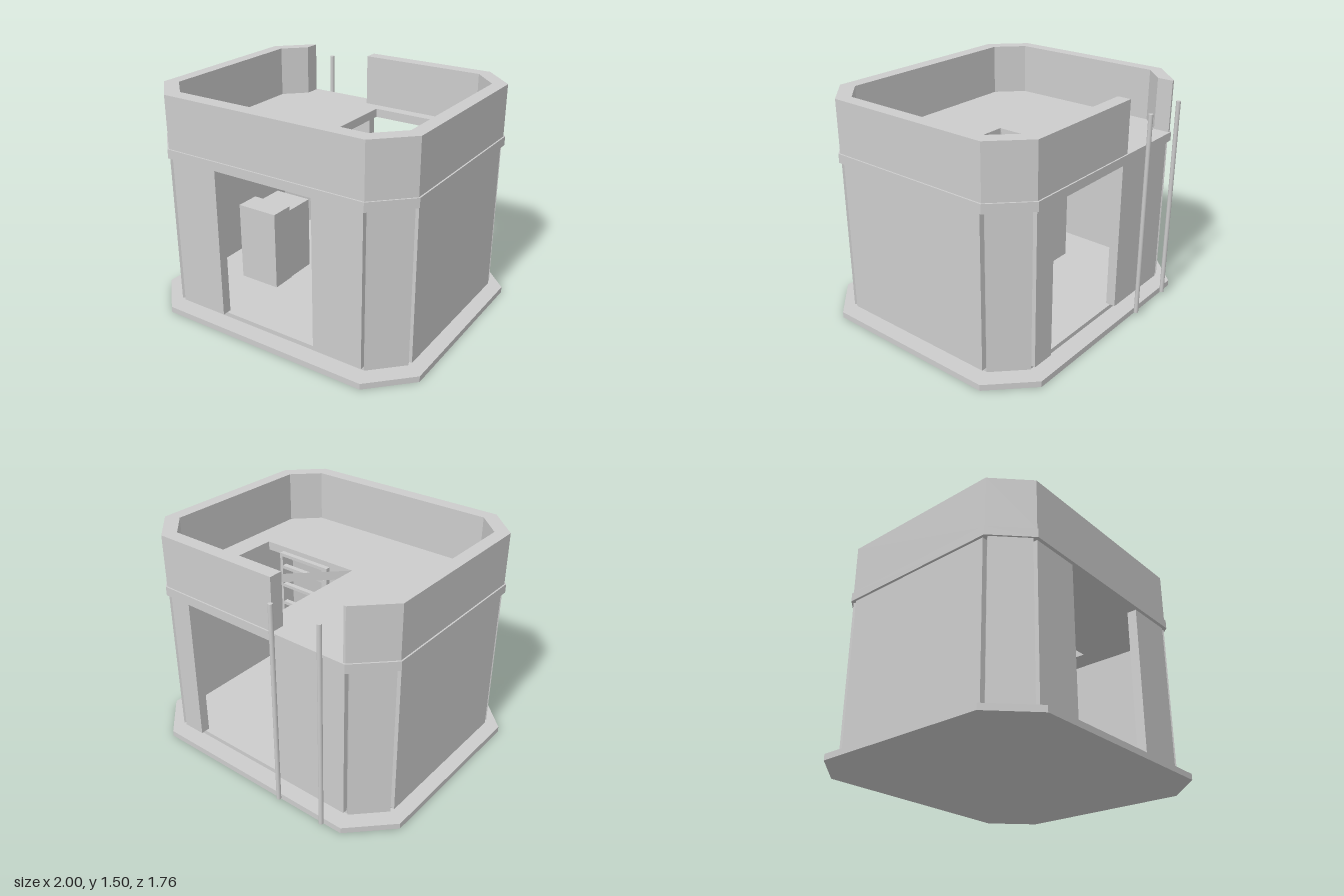
import * as THREE from 'three';

export function createModel() {
  const model = new THREE.Group();
  const body = new THREE.Group();
  body.name = 'guardPost';
  body.position.z = 0.02;
  model.add(body);

  const grey = new THREE.MeshStandardMaterial({ color: 0xcccccc });
  grey.name = 'plainGrey';
  const greySheet = grey.clone();
  greySheet.name = 'plainGrey';
  greySheet.side = THREE.DoubleSide;

  function add(name, geometry, material = grey) {
    const mesh = new THREE.Mesh(geometry, material);
    mesh.name = name;
    body.add(mesh);
    return mesh;
  }
  // box given by its limits on each axis
  function block(name, x0, x1, y0, y1, z0, z1) {
    const g = new THREE.BoxGeometry(x1 - x0, y1 - y0, z1 - z0);
    g.translate((x0 + x1) / 2, (y0 + y1) / 2, (z0 + z1) / 2);
    return add(name, g);
  }
  // plan outline of [x, z] points raised from y0 to y1
  const toPlan = (pts) => pts.map(([x, z]) => new THREE.Vector2(x, -z));
  function prism(name, pts, y0, y1, hole) {
    const shape = new THREE.Shape(toPlan(pts));
    if (hole) shape.holes.push(new THREE.Path(toPlan(hole)));
    const g = new THREE.ExtrudeGeometry(shape, { depth: y1 - y0, bevelEnabled: false });
    g.rotateX(-Math.PI / 2);
    g.translate(0, y0, 0);
    return add(name, g);
  }
  // rectangle with cut corners: half sizes X, Z and the points where the cuts start
  const octagon = (X, Z, cx, cz) => [
    [-cx, Z], [cx, Z], [X, cz], [X, -cz], [cx, -Z], [-cx, -Z], [-X, -cz], [-X, cz],
  ];

  // base and floor
  prism('basePlate', octagon(1, 0.862, 0.745, 0.607), 0, 0.04);
  prism('floor', octagon(0.88, 0.74, 0.7, 0.56), 0.04, 0.07);

  // lower walls with a doorway in the front and one in the back
  const low = 0.07, high = 1.097;
  const wallZ = 0.775, innerZ = 0.71, wallX = 0.918, innerX = 0.853;
  block('frontWallRight', -0.698, -0.357, low, high, innerZ, wallZ);
  block('frontWallLeft', 0.355, 0.698, low, high, innerZ, wallZ);
  block('backWallRight', -0.698, -0.167, low, high, -wallZ, -innerZ);
  block('backWallLeft', 0.54, 0.698, low, high, -wallZ, -innerZ);
  block('rightWall', -wallX, -innerX, low, high, -0.555, 0.555);
  block('leftWall', innerX, wallX, low, high, -0.555, 0.555);

  // diagonal corner panels, with a narrow groove beside each wall
  for (const sx of [-1, 1]) {
    for (const sz of [-1, 1]) {
      const pts = [[0.727, 0.77], [0.912, 0.585], [0.866, 0.539], [0.681, 0.724]];
      prism('cornerPanel', pts.map(([x, z]) => [x * sx, z * sz]), low, high);
    }
  }

  // upper deck with a square hatch and a thin diagonal web across it
  const h = { x0: -0.057, x1: 0.683, z0: -0.62, z1: 0.12 };
  prism('upperDeck', octagon(0.935, 0.798, 0.715, 0.58), high, 1.157,
    [[h.x0, h.z0], [h.x1, h.z0], [h.x1, h.z1], [h.x0, h.z1]]);
  const web = new THREE.PlaneGeometry(Math.hypot(h.x1 - h.x0, h.z1 - h.z0), 0.06);
  web.rotateY(Math.PI / 4);
  web.translate((h.x0 + h.x1) / 2, 1.127, (h.z0 + h.z1) / 2);
  add('hatchWeb', web, greySheet);

  // parapet, left open at the back above the poles
  prism('parapet', [
    [-0.187, -0.788], [0.712, -0.788], [0.925, -0.575], [0.925, 0.575], [0.712, 0.788],
    [-0.712, 0.788], [-0.925, 0.575], [-0.925, -0.575], [-0.712, -0.788], [-0.697, -0.788],
    [-0.697, -0.68], [-0.838, -0.54], [-0.838, 0.53], [-0.672, 0.692], [0.672, 0.692],
    [0.836, 0.53], [0.836, -0.53], [0.672, -0.697], [-0.187, -0.697],
  ], 1.157, 1.505);

  // ladder up to the hatch
  block('ladderStile', 0.108, 0.13, low, 1.12, 0.055, 0.09);
  block('ladderStile', 0.497, 0.52, low, 1.12, 0.055, 0.09);
  block('ladderTopBar', 0.108, 0.52, 1.12, 1.142, 0.055, 0.09);
  for (let i = 0; i < 7; i++) {
    const y = 0.2 + i * 0.14;
    block('ladderRung', 0.13, 0.497, y - 0.011, y + 0.011, 0.055, 0.09);
  }

  // storage boxes inside
  block('frontCrate', -0.58, -0.28, low, 0.625, 0.14, 0.31);
  block('rearCrate', -0.56, -0.285, low, 0.59, -0.09, 0.14);

  // slide poles behind the gap in the parapet
  for (const x of [-0.613, -0.27]) {
    const pole = add('slidePole', new THREE.CylinderGeometry(0.015, 0.015, 1.39, 10));
    pole.position.set(x, 0.715, -0.883);
  }
  return model;
}
